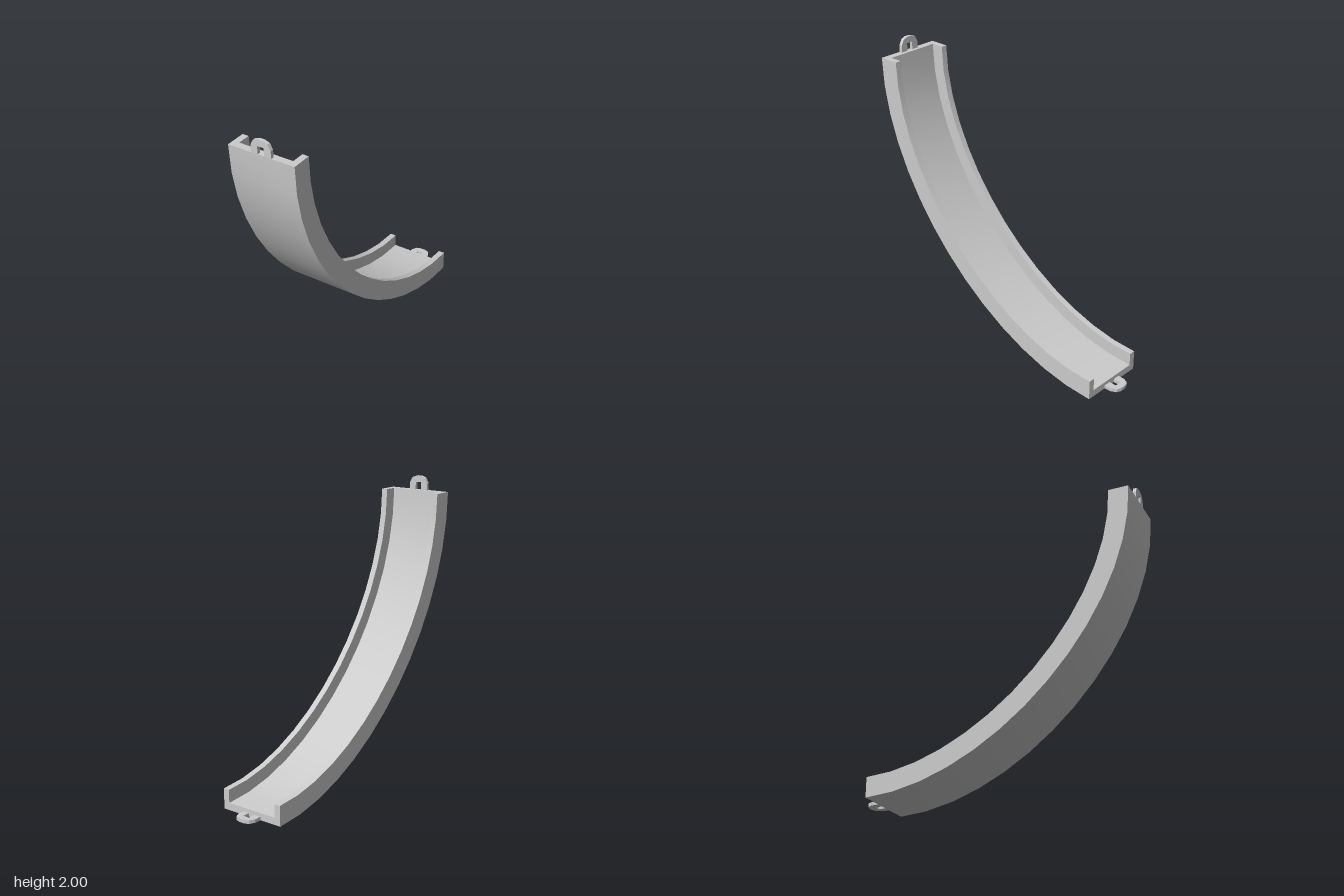
import * as THREE from 'three';
import { toCreasedNormals } from 'three/addons/utils/BufferGeometryUtils.js';

const grey = new THREE.MeshStandardMaterial({ color: 0xcccccc });
const polygon = (pts) => new THREE.Shape(pts.map(([x, y]) => new THREE.Vector2(x, y)));
// Half outline, mirrored in x into a closed, counter-clockwise outline
const mirrored = (half) => polygon([...half, ...half.map(([x, y]) => [-x, y]).reverse()]);

// U-shaped channel swept along the quarter bend
function channelGeometry() {
  const R = 1.9, k = 0.49;
  const bend = new THREE.CubicBezierCurve3(
    new THREE.Vector3(0, 0, R - R - 0.9),
    new THREE.Vector3(0, 0, -0.9 + R * k),
    new THREE.Vector3(0, R * (1 - k), 1),
    new THREE.Vector3(0, R, 1)
  );
  const profile = mirrored([[0.237, 0], [0.237, 0.141], [0.193, 0.141], [0.193, 0.05]]);
  const geo = new THREE.ExtrudeGeometry(profile, { depth: 1, steps: 14, bevelEnabled: false });
  const pos = geo.attributes.position;
  for (let i = 0; i < pos.count; i++) {
    const t = THREE.MathUtils.clamp(pos.getZ(i), 0, 1), h = pos.getY(i);
    const p = bend.getPoint(t), d = bend.getTangent(t);
    pos.setXYZ(i, pos.getX(i), p.y + d.z * h, p.z - d.y * h);
  }
  return toCreasedNormals(geo, 0.5);
}

// Small flat loop with a square opening against the channel end
function loopGeometry() {
  const outline = mirrored([
    [0.074, 0], [0.072, 0.05], [0.052, 0.088], [0.018, 0.1],
  ]);
  const arch = outline.getPoints().slice(0, 8);
  arch.push(...[[-0.023, 0], [-0.023, 0.055], [0.023, 0.055], [0.023, 0]]
    .map(([x, y]) => new THREE.Vector2(x, y)));
  return new THREE.ExtrudeGeometry(new THREE.Shape(arch), { depth: 0.024, bevelEnabled: false });
}

export function createModel() {
  const group = new THREE.Group();
  group.name = 'curvedTrack';
  const add = (name, geo) => {
    const mesh = new THREE.Mesh(geo, grey);
    mesh.name = name;
    group.add(mesh);
    return mesh;
  };

  add('channel', channelGeometry());

  // Connector loops: one upright at the top, one lying flat at the foot
  add('topLoop', loopGeometry()).position.set(0, 1.9, 0.976);
  const foot = add('bottomLoop', loopGeometry());
  foot.rotation.x = -Math.PI / 2;
  foot.position.set(0, 0, -0.9);

  return group;
}
